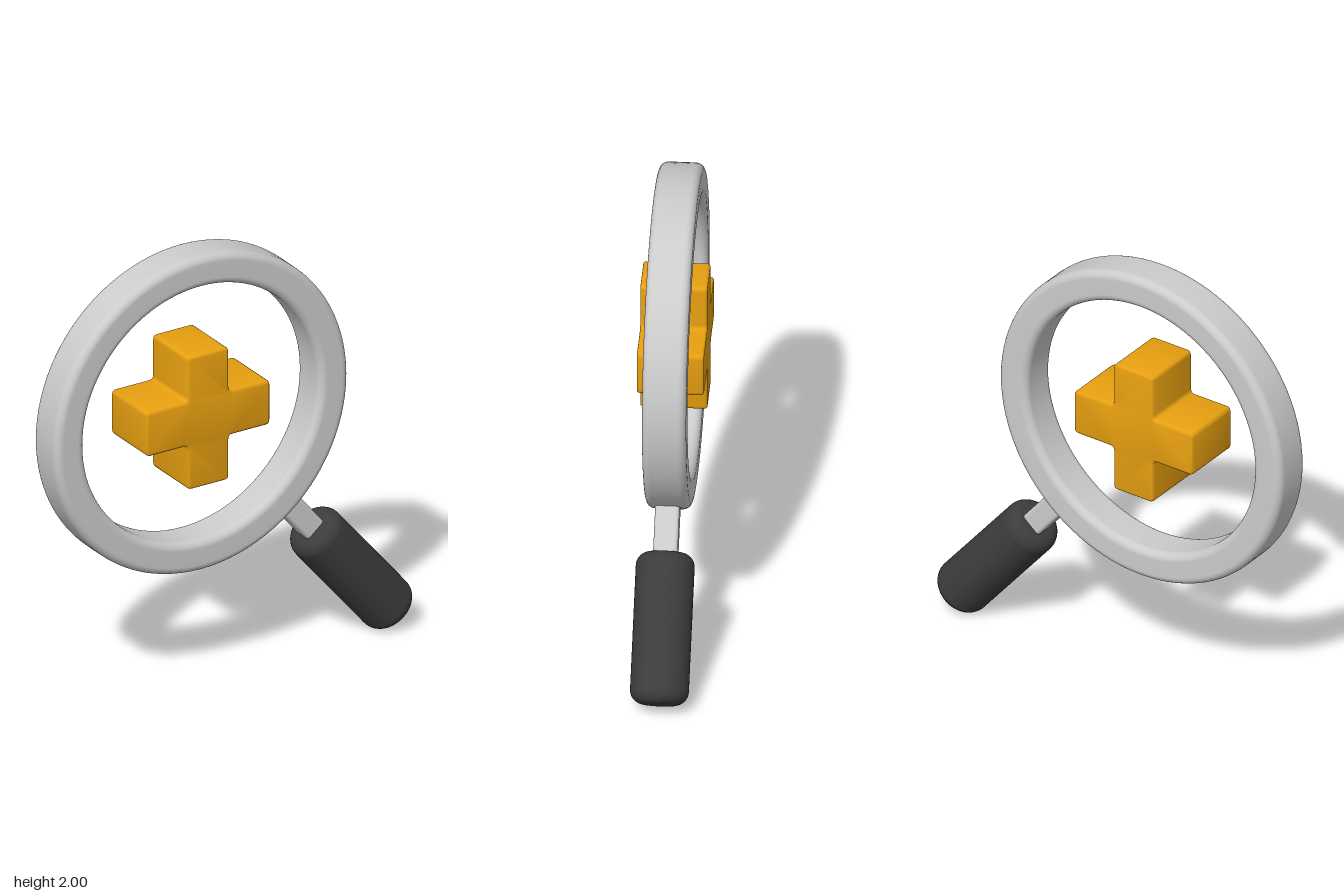
import * as THREE from 'three';
import { toCreasedNormals } from 'three/addons/utils/BufferGeometryUtils.js';
import { RoundedBoxGeometry } from 'three/addons/geometries/RoundedBoxGeometry.js';

const RING = { x: -0.175, y: 1.265, outer: 0.735, inner: 0.59, half: 0.094 };
const HANDLE_TILT = THREE.MathUtils.degToRad(40); // away from straight down

// Points of a quarter round, counter-clockwise from angle a0
function quarter(cx, cy, r, a0, steps = 6) {
  return Array.from({ length: steps + 1 }, (_, i) => {
    const a = a0 + (i / steps) * Math.PI / 2;
    return new THREE.Vector2(cx + r * Math.cos(a), cy + r * Math.sin(a));
  });
}

// Rounded rectangular section swept around a circle
function ringGeometry({ outer, inner, half }, r) {
  const start = new THREE.Vector2(outer, 0);
  const profile = [
    start,
    ...quarter(outer - r, half - r, r, 0),
    ...quarter(inner + r, half - r, r, Math.PI / 2),
    ...quarter(inner + r, r - half, r, Math.PI),
    ...quarter(outer - r, r - half, r, Math.PI * 1.5),
    start.clone(),
  ];
  return new THREE.LatheGeometry(profile, 96).rotateX(Math.PI / 2);
}

// Solid cylinder with rounded rims
function gripGeometry(radius, half, r) {
  const profile = [
    new THREE.Vector2(0, -half),
    ...quarter(radius - r, r - half, r, -Math.PI / 2, 8),
    ...quarter(radius - r, half - r, r, 0, 8),
    new THREE.Vector2(0, half),
  ];
  return new THREE.LatheGeometry(profile, 48);
}

// Plus sign with softened corners and bevelled edges
function plusGeometry(arm, w, depth, round, bevel) {
  const quarterCorners = [[arm, -w], [arm, w], [w, w]];
  const corners = [];
  for (let k = 0; k < 4; k++) {
    for (const [x, y] of quarterCorners) {
      corners.push(new THREE.Vector2(x, y).rotateAround(new THREE.Vector2(), k * Math.PI / 2));
    }
  }
  const shape = new THREE.Shape();
  corners.forEach((c, i) => {
    const prev = corners[(i + 11) % 12], next = corners[(i + 1) % 12];
    const a = c.clone().add(prev.clone().sub(c).setLength(round));
    const b = c.clone().add(next.clone().sub(c).setLength(round));
    if (i === 0) shape.moveTo(a.x, a.y); else shape.lineTo(a.x, a.y);
    shape.quadraticCurveTo(c.x, c.y, b.x, b.y);
  });
  shape.closePath();
  const geometry = new THREE.ExtrudeGeometry(shape, {
    depth: depth - 2 * bevel, curveSegments: 4,
    bevelThickness: bevel, bevelSize: bevel, bevelOffset: -bevel, bevelSegments: 3,
  });
  geometry.translate(0, 0, bevel - depth / 2);
  return toCreasedNormals(geometry, 0.7);
}

export function createModel() {
  const model = new THREE.Group();
  model.name = 'magnifier';
  const grey = new THREE.MeshStandardMaterial({ color: 0xcccccc });
  const orange = new THREE.MeshStandardMaterial({ color: 0xe8a010 });
  const dark = new THREE.MeshStandardMaterial({ color: 0x3c3c3c });

  const add = (parent, name, geometry, material, x, y, z) => {
    const mesh = new THREE.Mesh(geometry, material);
    mesh.name = name;
    mesh.position.set(x, y, z);
    parent.add(mesh);
  };

  // Lens rim and the plus floating inside it
  add(model, 'rim', ringGeometry(RING, 0.035), grey, RING.x, RING.y, -0.005);
  add(model, 'plus', plusGeometry(0.309, 0.103, 0.285, 0.02, 0.012), orange, -0.178, RING.y, -0.003);

  // Handle hangs radially from the rim centre, tilted to the left side
  const handle = new THREE.Group();
  handle.name = 'handle';
  handle.position.set(RING.x, RING.y, -0.005);
  handle.rotation.z = HANDLE_TILT;
  model.add(handle);
  add(handle, 'stem', new RoundedBoxGeometry(0.104, 0.36, 0.104, 3, 0.016), grey, 0, -0.86, 0);
  add(handle, 'grip', gripGeometry(0.125, 0.325, 0.06), dark, 0, -1.25, 0);

  return model;
}
